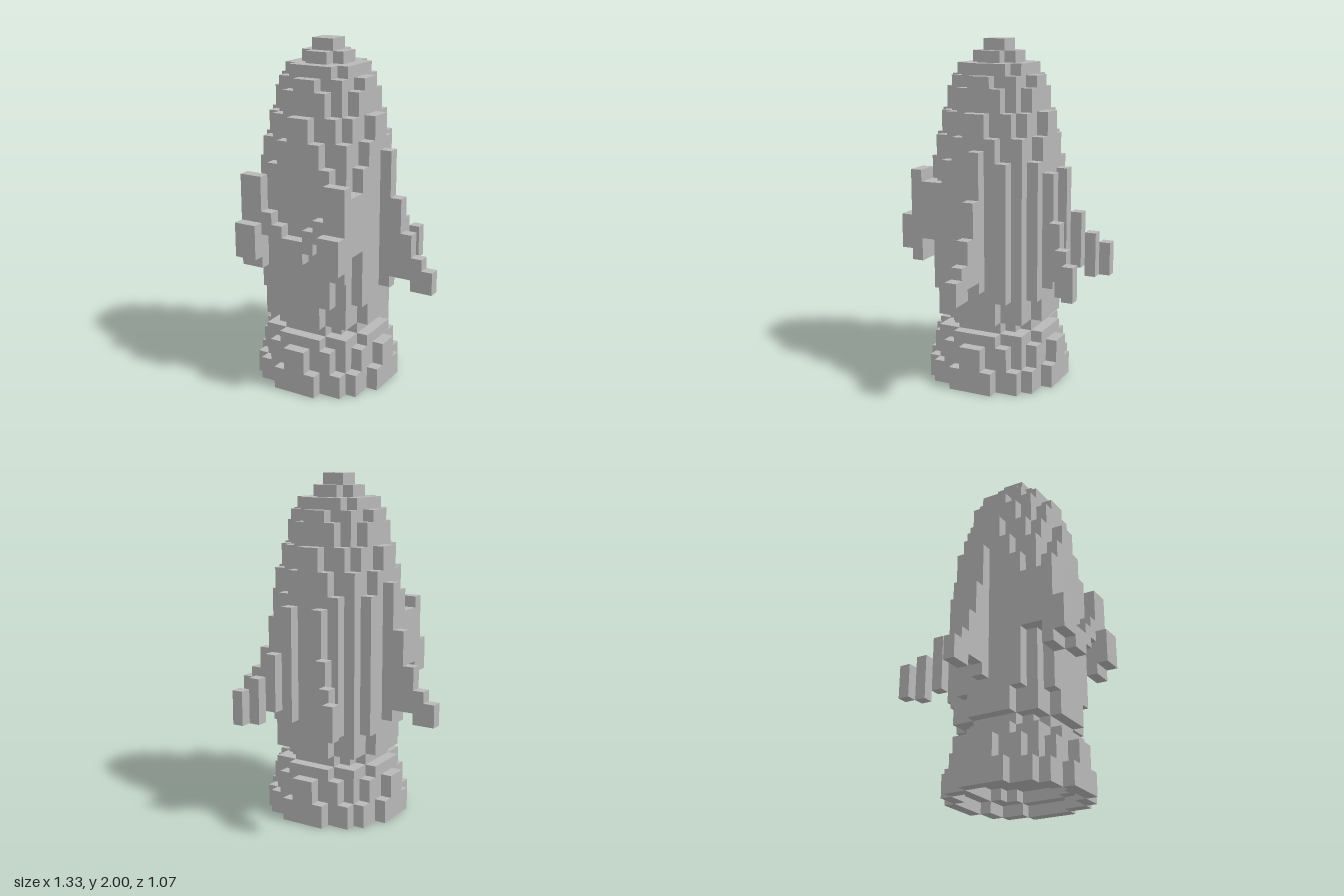
import * as THREE from 'three';

const V = 2 / 30; // edge of one voxel
const CZ = 1;     // hull axis lies one voxel in front of the origin

// Stepped outline of a voxel disc: all cells whose centre lies inside the squared radius
function discPoints(r2) {
  const n = Math.floor(Math.sqrt(r2 - 0.25) + 0.5);
  const half = (k) => Math.floor(Math.sqrt(Math.max(0, r2 - (k + 0.5) ** 2)) + 0.5);
  const right = [];
  let last = -1;
  for (let k = -n; k < n; k++) {
    const h = half(k);
    if (h === last) right.pop();
    else right.push(new THREE.Vector2(h, k));
    right.push(new THREE.Vector2(h, k + 1));
    last = h;
  }
  const left = right.map((p) => new THREE.Vector2(-p.x, p.y)).reverse();
  return right.concat(left);
}

export function createModel() {
  const model = new THREE.Group();
  model.name = 'rocket';
  const grey = new THREE.MeshStandardMaterial({ color: 0xb8b8b8 });
  grey.name = 'grey';

  function group(name) {
    const g = new THREE.Group();
    g.name = name;
    model.add(g);
    return g;
  }

  // Disc layer from y0 to y1, optionally with a round opening
  function layer(parent, name, r2, y0, y1, hole) {
    const shape = new THREE.Shape(discPoints(r2));
    if (hole) shape.holes.push(new THREE.Path(discPoints(hole)));
    const geo = new THREE.ExtrudeGeometry(shape, { depth: y1 - y0, bevelEnabled: false });
    geo.rotateX(-Math.PI / 2).translate(0, y0, CZ).scale(V, V, V);
    const mesh = new THREE.Mesh(geo, grey);
    mesh.name = name;
    parent.add(mesh);
  }

  // Box given by its voxel bounds
  function block(parent, name, x0, x1, y0, y1, z0, z1) {
    const geo = new THREE.BoxGeometry(x1 - x0, y1 - y0, z1 - z0);
    geo.translate((x0 + x1) / 2, (y0 + y1) / 2, (z0 + z1) / 2).scale(V, V, V);
    const mesh = new THREE.Mesh(geo, grey);
    mesh.name = name;
    parent.add(mesh);
  }

  // The same box on both sides
  function pair(parent, name, x0, x1, ...yz) {
    block(parent, name + 'Left', x0, x1, ...yz);
    block(parent, name + 'Right', -x1, -x0, ...yz);
  }

  // Nozzle skirt, hollow underneath in two terraces
  const nozzle = group('nozzle');
  layer(nozzle, 'nozzleRim', 36, 0, 1, 25);
  layer(nozzle, 'nozzleStep', 36, 1, 2, 16);
  layer(nozzle, 'nozzleWall', 31, 2, 4);
  layer(nozzle, 'nozzleShoulder', 25, 4, 5);
  layer(nozzle, 'neck', 16, 5, 6);

  // Hull and rounded nose: squared radius, bottom, top
  const hull = group('hull');
  [
    [25, 6, 8], [27, 8, 20], [25, 20, 22], [21, 22, 24],
  ].forEach(([r2, a, b]) => layer(hull, 'hullLayer', r2, a, b));
  const nose = group('nose');
  [
    [16, 24, 26], [13, 26, 27], [9, 27, 28], [3, 28, 29], [1, 29, 30],
  ].forEach(([r2, a, b]) => layer(nose, 'noseLayer', r2, a, b));

  // Swept side fins, one voxel thick
  const sideFins = group('sideFins');
  [[9, 21], [10, 17], [10, 14], [9, 12], [9, 11]].forEach(([a, b], i) =>
    pair(sideFins, 'sideFin', 5 + i, 6 + i, a, b, 0, 1));

  // Diagonal rear fins
  const rearFins = group('rearFins');
  [[9, 19], [10, 15], [9, 13], [9, 12]].forEach(([a, b], i) =>
    pair(rearFins, 'rearFin', 1 + i, 2 + i, a, b, -5 - i, -4 - i));

  // Front flaps beside the recess
  const flaps = group('frontFlaps');
  pair(flaps, 'flapRoot', 3, 5, 13, 18, 4, 6);
  pair(flaps, 'flapPlate', 3, 5, 11, 19, 6, 7);
  pair(flaps, 'flapTip', 3, 5, 12, 15, 7, 8);

  // V-shaped ledge between the flaps
  const ledge = group('chevronLedge');
  for (let i = 0; i < 3; i++) pair(ledge, 'ledge', i, i + 1, 12 + i, 14 + i, 6, 7);

  return model;
}
